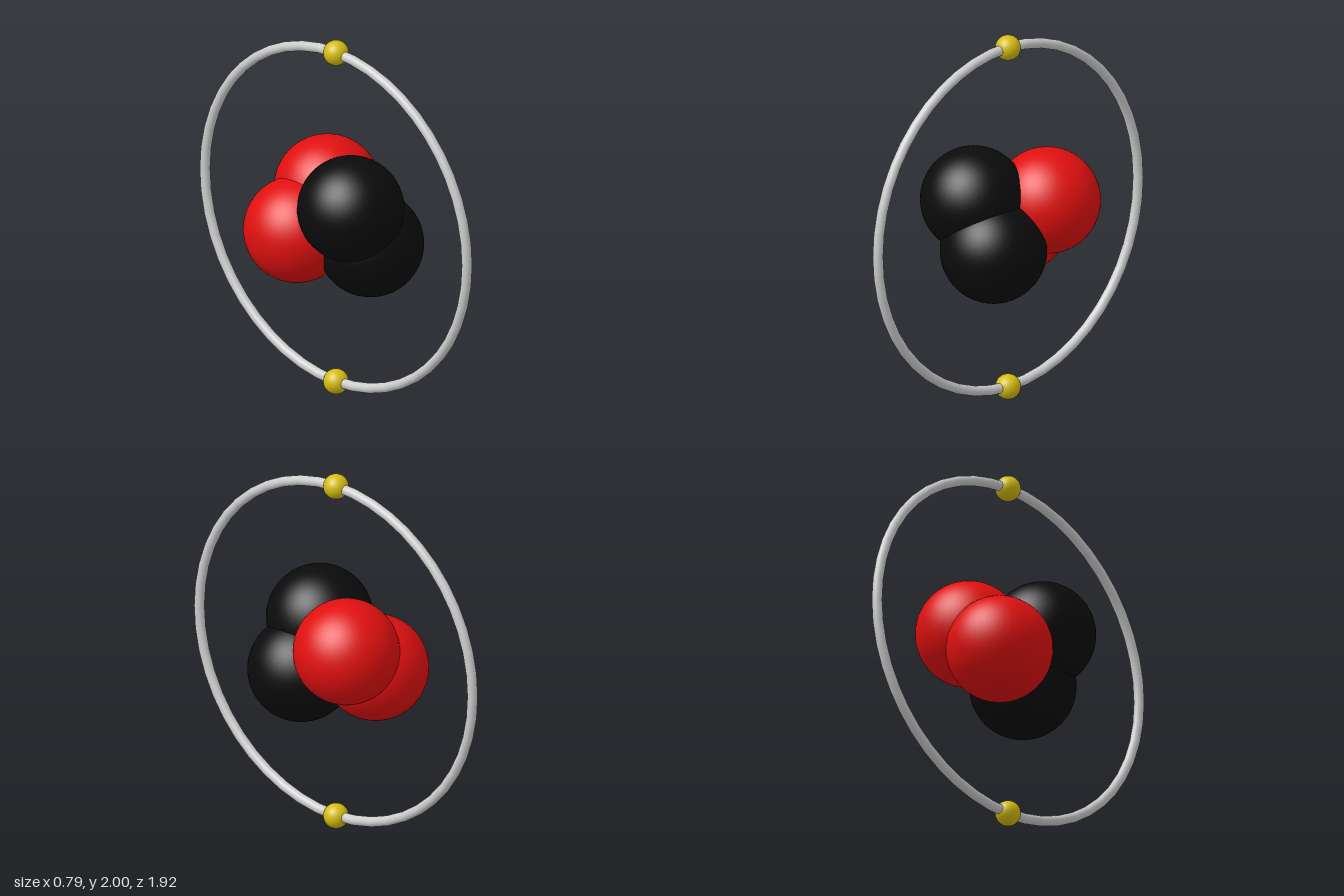
import * as THREE from 'three';

const material = (color) => new THREE.MeshStandardMaterial({ color });

export function createModel() {
  const group = new THREE.Group();
  group.name = 'atom';

  const add = (name, geometry, mat, x, y, z) => {
    const mesh = new THREE.Mesh(geometry, mat);
    mesh.name = name;
    mesh.position.set(x, y, z);
    group.add(mesh);
    return mesh;
  };

  const ringRadius = 0.933;
  const nucleon = new THREE.SphereGeometry(0.28, 48, 32);
  const electron = new THREE.SphereGeometry(0.067, 32, 20);
  const black = material(0x0b0b0b);
  const red = material(0xe01010);
  const yellow = material(0xd4bc10);

  // Orbit ring standing in the y-z plane
  const orbit = new THREE.TorusGeometry(ringRadius, 0.027, 16, 48);
  add('orbitRing', orbit, material(0xcccccc), 0, 1, 0).rotation.y = Math.PI / 2;

  // Mirrored pairs: electrons on the ring, two crossed pairs in the nucleus
  for (const s of [1, -1]) {
    const side = s > 0 ? 'Upper' : 'Lower';
    add('electron' + side, electron, yellow, 0, 1 + s * ringRadius, 0);
    add('neutron' + side, nucleon, black, -0.075 * s, 1 + 0.122 * s, 0.175);
    add('proton' + side, nucleon, red, 0.117 * s, 1 + 0.082 * s, -0.17);
  }

  return group;
}
